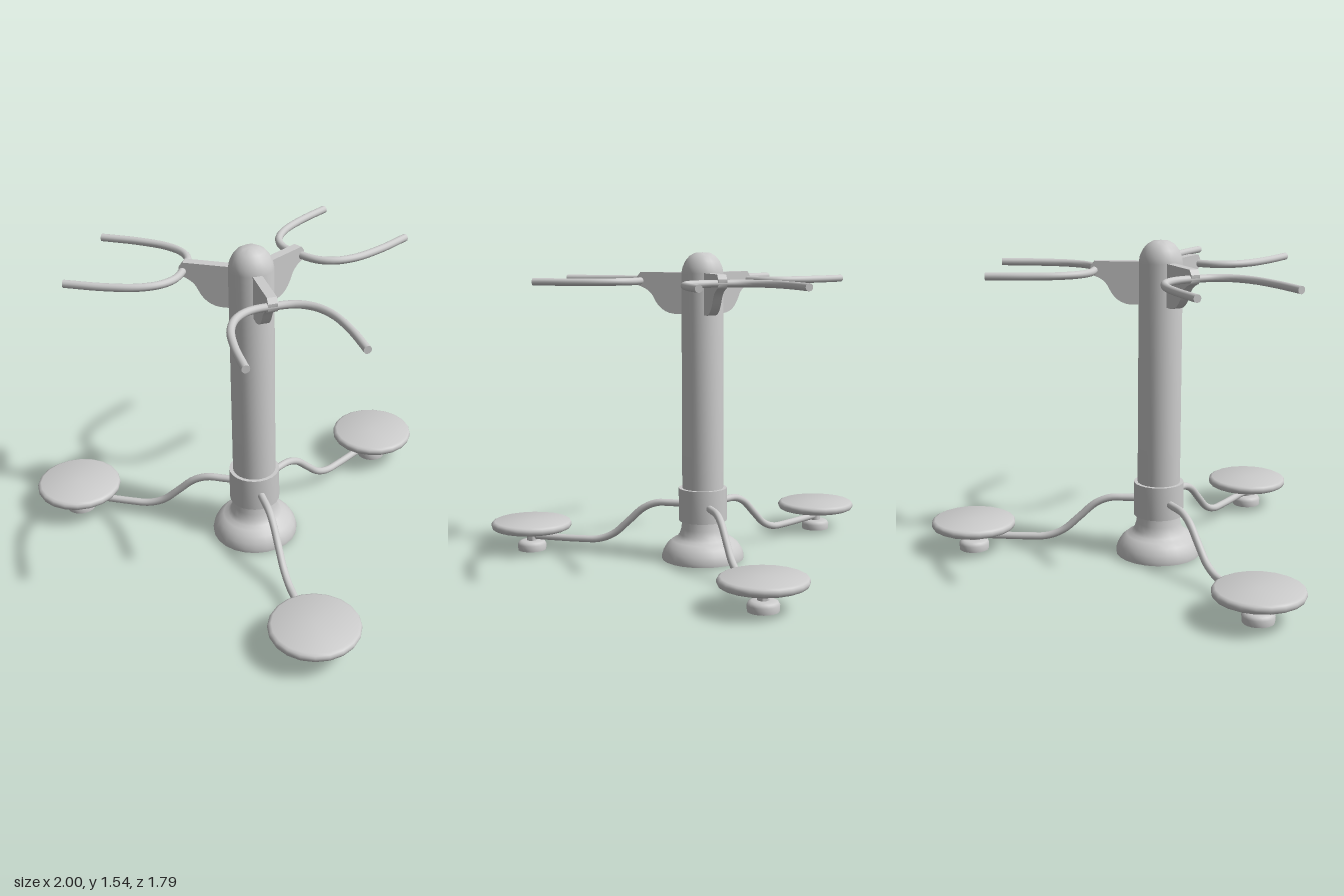
import * as THREE from 'three';
import { toCreasedNormals } from 'three/addons/utils/BufferGeometryUtils.js';

const material = new THREE.MeshStandardMaterial({ color: 0xcccccc });
const TUBE_R = 0.018;

function mesh(name, geometry) {
  const m = new THREE.Mesh(geometry, material);
  m.name = name;
  return m;
}

// Turned part from [radius, y] pairs, bottom to top
function turned(name, profile, segments) {
  const pts = profile.map(([r, y]) => new THREE.Vector2(r, y));
  return mesh(name, toCreasedNormals(new THREE.LatheGeometry(pts, segments), 0.7));
}

// Bent pipe with closed ends
function pipe(name, points, segments) {
  const group = new THREE.Group();
  group.name = name;
  const curve = new THREE.CatmullRomCurve3(points.map((p) => new THREE.Vector3(...p)));
  group.add(mesh(name + 'Tube', new THREE.TubeGeometry(curve, segments, TUBE_R, 12)));
  for (const t of [0, 1]) {
    const cap = mesh(name + 'Cap', new THREE.CircleGeometry(TUBE_R, 12));
    const dir = curve.getTangent(t).multiplyScalar(t ? 1 : -1);
    cap.position.copy(curve.getPoint(t));
    cap.quaternion.setFromUnitVectors(new THREE.Vector3(0, 0, 1), dir);
    group.add(cap);
  }
  return group;
}

// One station, reaching outward along +x from the post axis
function createStation() {
  const station = new THREE.Group();
  station.name = 'station';

  // Swooping arm from the collar to the pedestal
  station.add(pipe('arm', [
    [0.09, 0.283, 0], [0.16, 0.283, 0], [0.24, 0.28, 0], [0.31, 0.25, 0], [0.39, 0.178, 0],
    [0.47, 0.108, 0], [0.55, 0.076, 0], [0.64, 0.071, 0], [0.915, 0.073, 0],
  ], 40));

  // Small foot and stem carrying the standing disc
  const pedestal = turned('pedestal', [
    [0, 0], [0.072, 0], [0.074, 0.03], [0.067, 0.043], [0.053, 0.049],
    [0.027, 0.05], [0.027, 0.125],
  ], 20);
  const disc = turned('standingDisc', [
    [0, 0.113], [0.19, 0.113], [0.202, 0.119], [0.207, 0.13], [0.207, 0.14],
    [0.202, 0.15], [0.19, 0.156], [0, 0.156],
  ], 20);
  pedestal.position.x = disc.position.x = 0.916;
  station.add(pedestal, disc);

  // Gusset plate holding the handlebar
  const s = new THREE.Shape();
  s.moveTo(0.08, 1.24);
  s.lineTo(0.14, 1.24);
  s.bezierCurveTo(0.19, 1.245, 0.22, 1.275, 0.238, 1.31);
  s.bezierCurveTo(0.255, 1.35, 0.28, 1.365, 0.32, 1.378);
  s.lineTo(0.328, 1.39);
  s.lineTo(0.328, 1.42);
  s.lineTo(0.31, 1.443);
  s.lineTo(0.08, 1.443);
  const plate = new THREE.ExtrudeGeometry(s, { depth: 0.044, bevelEnabled: false, curveSegments: 6 });
  plate.translate(0, 0, -0.022);
  station.add(mesh('gusset', toCreasedNormals(plate, 0.6)));

  // U-shaped handlebar, mirrored about the station axis
  const half = [[0.785, 0.252], [0.61, 0.247], [0.46, 0.222], [0.37, 0.174], [0.322, 0.105]];
  station.add(pipe('handlebar', [
    ...half.map(([x, z]) => [x, 1.4, -z]),
    [0.311, 1.4, 0],
    ...half.slice().reverse().map(([x, z]) => [x, 1.4, z]),
  ], 48));
  return station;
}

export function createModel() {
  const model = new THREE.Group();
  model.name = 'outdoorTwister';
  const body = new THREE.Group();
  body.name = 'body';
  body.position.z = 0.23;
  model.add(body);

  // Flared base, post with domed top, and collar
  body.add(turned('base', [
    [0, 0.008], [0.206, 0.008], [0.207, 0.025], [0.198, 0.055], [0.18, 0.083], [0.155, 0.104],
    [0.132, 0.115], [0.118, 0.135], [0.108, 0.165], [0.103, 0.21],
  ], 24));
  body.add(turned('post', [
    [0.103, 0.2], [0.103, 1.44], [0.098, 1.468], [0.084, 1.499], [0.064, 1.523],
    [0.038, 1.538], [0, 1.541],
  ], 24));
  body.add(turned('collar', [
    [0.1, 0.205], [0.121, 0.205], [0.121, 0.37], [0.1, 0.37],
  ], 24));

  // Three stations spaced evenly around the post
  for (let i = 0; i < 3; i++) {
    const station = createStation();
    station.rotation.y = Math.PI / 2 + (i * 2 * Math.PI) / 3;
    body.add(station);
  }
  return model;
}
